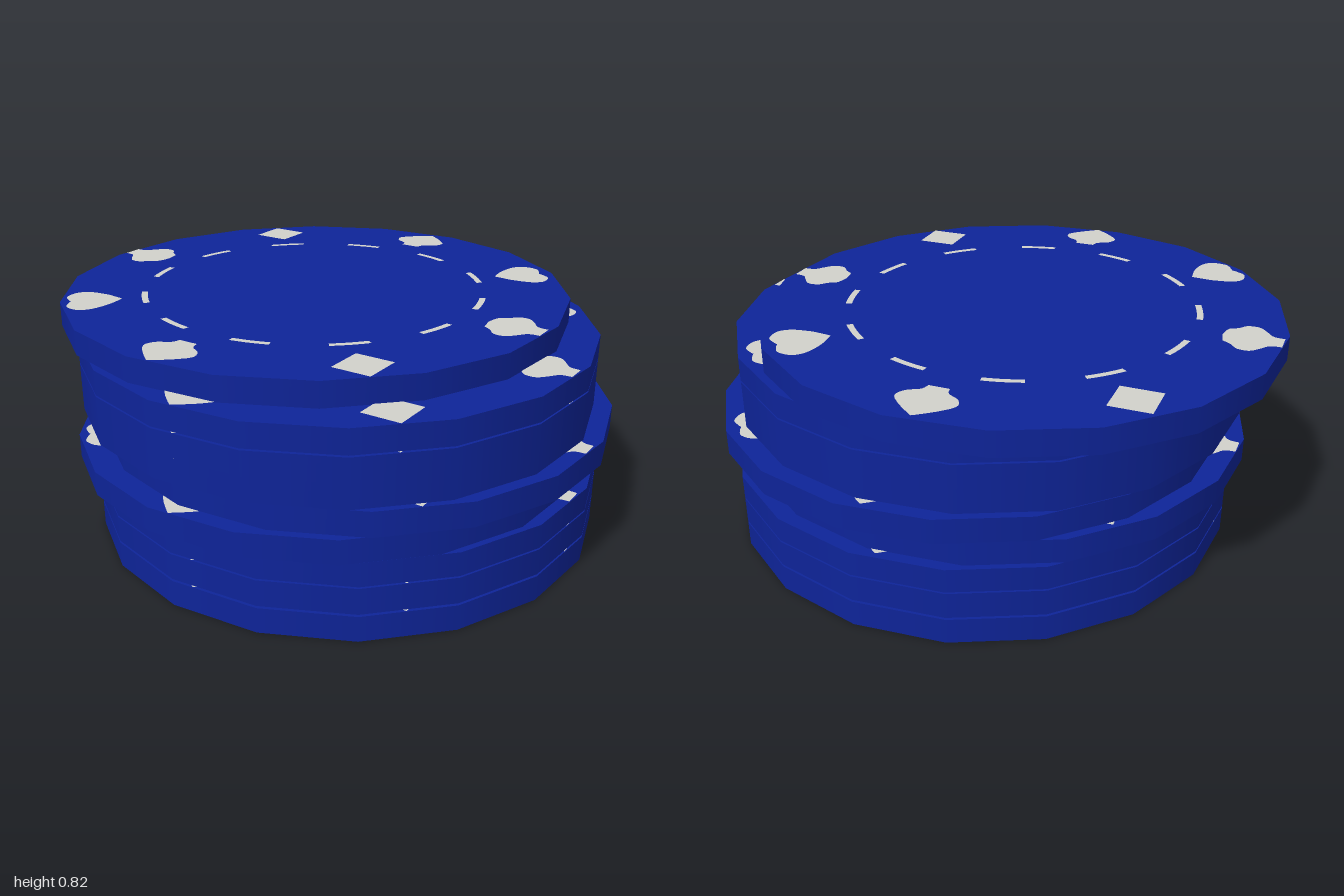
import * as THREE from 'three';
import { mergeGeometries } from 'three/addons/utils/BufferGeometryUtils.js';

const RADIUS = 0.9125;
const DEG = Math.PI / 180;

// Each chip: bottom y, top y, centre x, centre z
const CHIPS = [
  [0, 0.09, 0.012, 0.065],
  [0.098, 0.19, 0.012, 0.065],
  [0.196, 0.28, 0.012, 0.065],
  [0.28, 0.365, -0.035, 0.025],
  [0.373, 0.46, 0.025, 0.1],
  [0.468, 0.552, -0.022, 0.05],
  [0.552, 0.637, -0.022, 0.05],
  [0.643, 0.728, -0.022, 0.05],
  [0.728, 0.815, 0.032, -0.1],
];

// Half outlines as [radial, tangential], from the inner to the outer end
const SPADE = [[-0.095, 0.035], [-0.065, 0.045], [-0.04, 0.085], [0, 0.1], [0.04, 0.07], [0.075, 0.03], [0.098, 0]];
const HEART = [[-0.105, 0], [-0.06, 0.055], [0, 0.098], [0.05, 0.1], [0.085, 0.06], [0.08, 0.02], [0.072, 0]];
const CLUB = [[-0.095, 0], [-0.085, 0.05], [-0.055, 0.07], [-0.03, 0.098], [0.01, 0.1], [0.04, 0.07], [0.065, 0.04], [0.103, 0.035]];
const DIAMOND = [[-0.098, 0], [0, 0.098], [0.098, 0]];

// Flat mark, mirrored across its radial axis and laid facing up
function markGeometry(half, smooth) {
  const side = half.map(([r, t]) => new THREE.Vector2(r, t));
  const other = half.filter((p) => p[1] > 0).reverse().map(([r, t]) => new THREE.Vector2(r, -t));
  const shape = new THREE.Shape();
  shape.moveTo(side[0].x, side[0].y);
  if (smooth) {
    shape.splineThru(side.slice(1));
    if (side[side.length - 1].y > 0) shape.lineTo(other[0].x, other[0].y);
    shape.splineThru(side[side.length - 1].y > 0 ? other.slice(1) : other);
  } else {
    [...side.slice(1), ...other].forEach((p) => shape.lineTo(p.x, p.y));
  }
  shape.closePath();
  return new THREE.ShapeGeometry(shape, 3).rotateX(-Math.PI / 2);
}

// Eight card marks around the rim
function rimMarks() {
  const order = [SPADE, HEART, CLUB, DIAMOND];
  const parts = [];
  for (let i = 0; i < 8; i++) {
    const half = order[i % 4];
    const mark = markGeometry(half, half !== DIAMOND);
    parts.push(mark.translate(0.795, 0, 0).rotateY(-(-5 + 45 * i) * DEG));
  }
  return mergeGeometries(parts);
}

// Twelve dashes forming the inner ring
function ringDashes() {
  const parts = [];
  const length = 12.5 * DEG;
  for (let i = 0; i < 12; i++) {
    const start = -(10 + 30 * i) * DEG - length / 2;
    parts.push(new THREE.RingGeometry(0.6, 0.622, 5, 1, start, length).rotateX(-Math.PI / 2));
  }
  return mergeGeometries(parts);
}

export function createModel() {
  const blue = new THREE.MeshStandardMaterial({ color: 0x0e2499 });
  blue.name = 'chipBlue';
  const grey = new THREE.MeshStandardMaterial({ color: 0xd2d2cc });
  grey.name = 'markGrey';

  const marks = rimMarks();
  const dashes = ringDashes();
  const add = (parent, name, geometry, material) => {
    const mesh = new THREE.Mesh(geometry, material);
    mesh.name = name;
    parent.add(mesh);
    return mesh;
  };

  const stack = new THREE.Group();
  stack.name = 'chipStack';
  CHIPS.forEach(([bottom, top, x, z], i) => {
    const chip = new THREE.Group();
    chip.name = `chip${i + 1}`;
    chip.position.set(x, 0, z);

    // Eighteen-sided disc with corners on the x axis
    const disc = new THREE.CylinderGeometry(RADIUS, RADIUS, top - bottom, 18, 1, false, 10 * DEG);
    add(chip, 'disc', disc, blue).position.y = (top + bottom) / 2;

    // Printed faces, the lower one flipped over
    const upper = new THREE.Group();
    upper.name = 'upperPrint';
    upper.position.set(-0.01, top + 0.002, 0);
    const lower = new THREE.Group();
    lower.name = 'lowerPrint';
    lower.position.y = bottom - (bottom > 0 ? 0.002 : 0.001);
    lower.rotation.set(Math.PI, -80 * DEG, 0);
    for (const print of [upper, lower]) {
      add(print, 'rimMarks', marks, grey);
      add(print, 'ringDashes', dashes, grey);
      chip.add(print);
    }
    stack.add(chip);
  });
  return stack;
}
